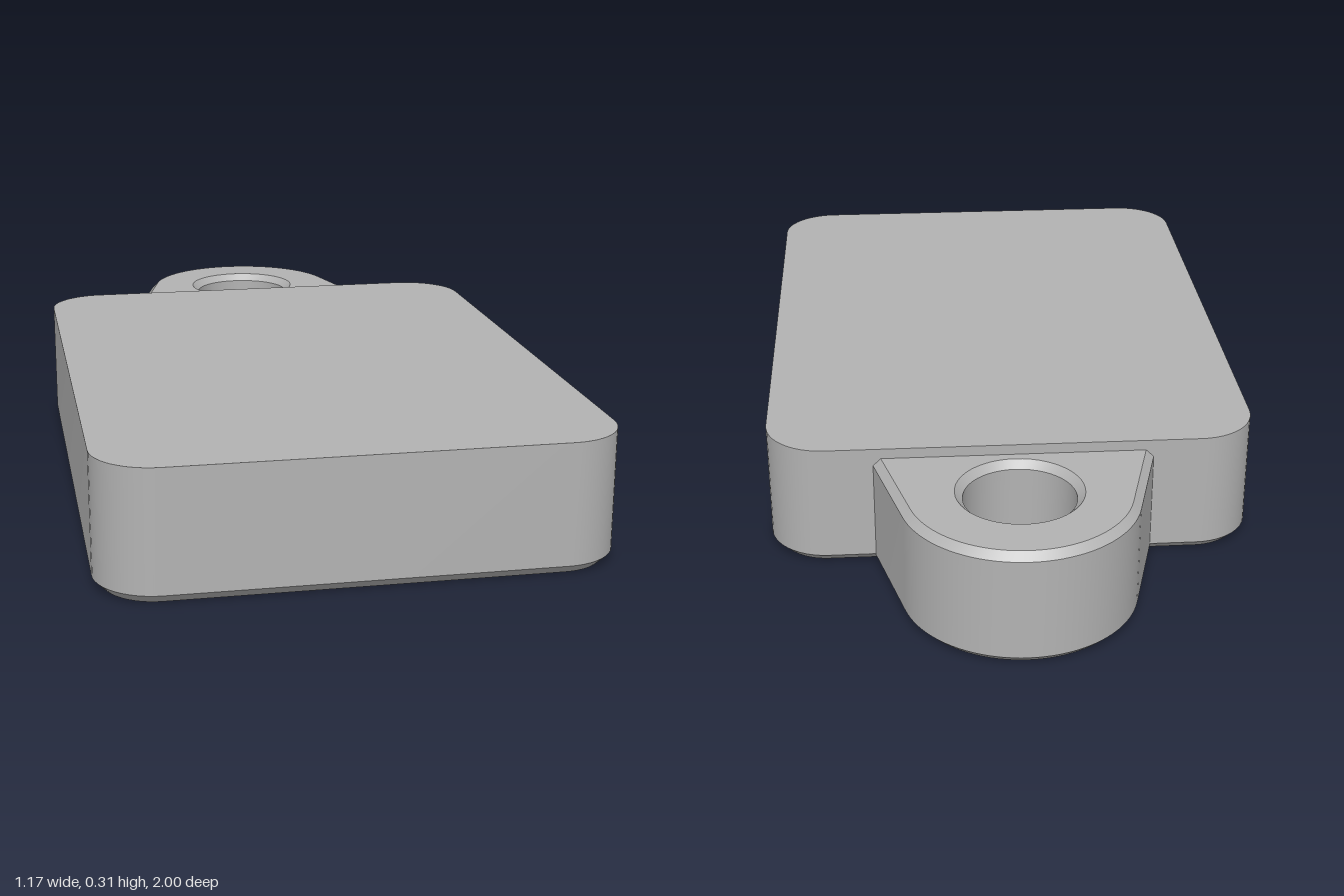
import * as THREE from 'three';
import { toCreasedNormals } from 'three/addons/utils/BufferGeometryUtils.js';

// Points along an arc; the outline plane is (x, -z), so counter-clockwise is as seen from above.
function arc(cx, cy, r, from, to, n, closed = false) {
  return Array.from({ length: closed ? n : n + 1 }, (_, i) => {
    const t = from + ((to - from) * i) / n;
    return new THREE.Vector2(cx + r * Math.cos(t), cy + r * Math.sin(t));
  });
}

// Stacks [height, inset] layers of an outline (with holes) into a closed solid.
function layeredSolid(outlineAt, layers) {
  const pos = [];
  const put = (p, y) => pos.push(p.x, y, -p.y);
  const rings = layers.map(([y, inset]) => ({ y, loops: outlineAt(inset) }));

  // Walls and chamfers
  for (let k = 0; k < rings.length - 1; k++) {
    const lo = rings[k], hi = rings[k + 1];
    lo.loops.forEach((a, l) => {
      const b = hi.loops[l];
      a.forEach((_, i) => {
        const j = (i + 1) % a.length;
        put(a[i], lo.y); put(a[j], lo.y); put(b[j], hi.y);
        put(a[i], lo.y); put(b[j], hi.y); put(b[i], hi.y);
      });
    });
  }

  // Bottom and top caps
  const cap = ({ y, loops }, up) => {
    const points = loops.flat();
    for (const [a, b, c] of THREE.ShapeUtils.triangulateShape(loops[0], loops.slice(1)))
      for (const i of up ? [a, b, c] : [a, c, b]) put(points[i], y);
  };
  cap(rings[0], false);
  cap(rings[rings.length - 1], true);

  const geometry = new THREE.BufferGeometry();
  geometry.setAttribute('position', new THREE.Float32BufferAttribute(pos, 3));
  geometry.computeVertexNormals();
  return toCreasedNormals(geometry, 0.5);
}

// Rounded rectangular body outline
function bodyOutline(inset) {
  const r = 0.14, x = 0.583 - r, back = 0.555 - r, front = -1 + r;
  const corners = [[x, back], [-x, back], [-x, front], [x, front]];
  return [corners.flatMap(([cx, cy], i) =>
    arc(cx, cy, r - inset, (i * Math.PI) / 2, ((i + 1) * Math.PI) / 2, 12))];
}

// Tapered lug outline: round end, straight flanks running into the body, and an eyelet
function lugOutline(inset) {
  const c = 0.725, r = 0.275 - inset, lean = 0.26, root = 0.53;
  const x = (r - (root - c) * Math.sin(lean)) / Math.cos(lean);
  return [
    [...arc(0, c, r, lean, Math.PI - lean, 40),
      new THREE.Vector2(-x, root), new THREE.Vector2(x, root)],
    arc(0, c, 0.13 + inset, 0, -Math.PI * 2, 48, true),
  ];
}

export function createModel() {
  const grey = new THREE.MeshStandardMaterial({ color: 0xb3b3b3 });
  grey.name = 'plain grey';
  const group = new THREE.Group();
  group.name = 'tag';

  const add = (name, outline, layers) => {
    const mesh = new THREE.Mesh(layeredSolid(outline, layers), grey);
    mesh.name = name;
    group.add(mesh);
  };

  // Body has a chamfered bottom edge and a sharp top edge
  add('body', bodyOutline, [[0, 0.022], [0.022, 0], [0.305, 0]]);
  // Lug is chamfered at both ends, inside the eyelet too
  add('hangingLug', lugOutline, [[0, 0.018], [0.018, 0], [0.262, 0], [0.28, 0.018]]);

  return group;
}
